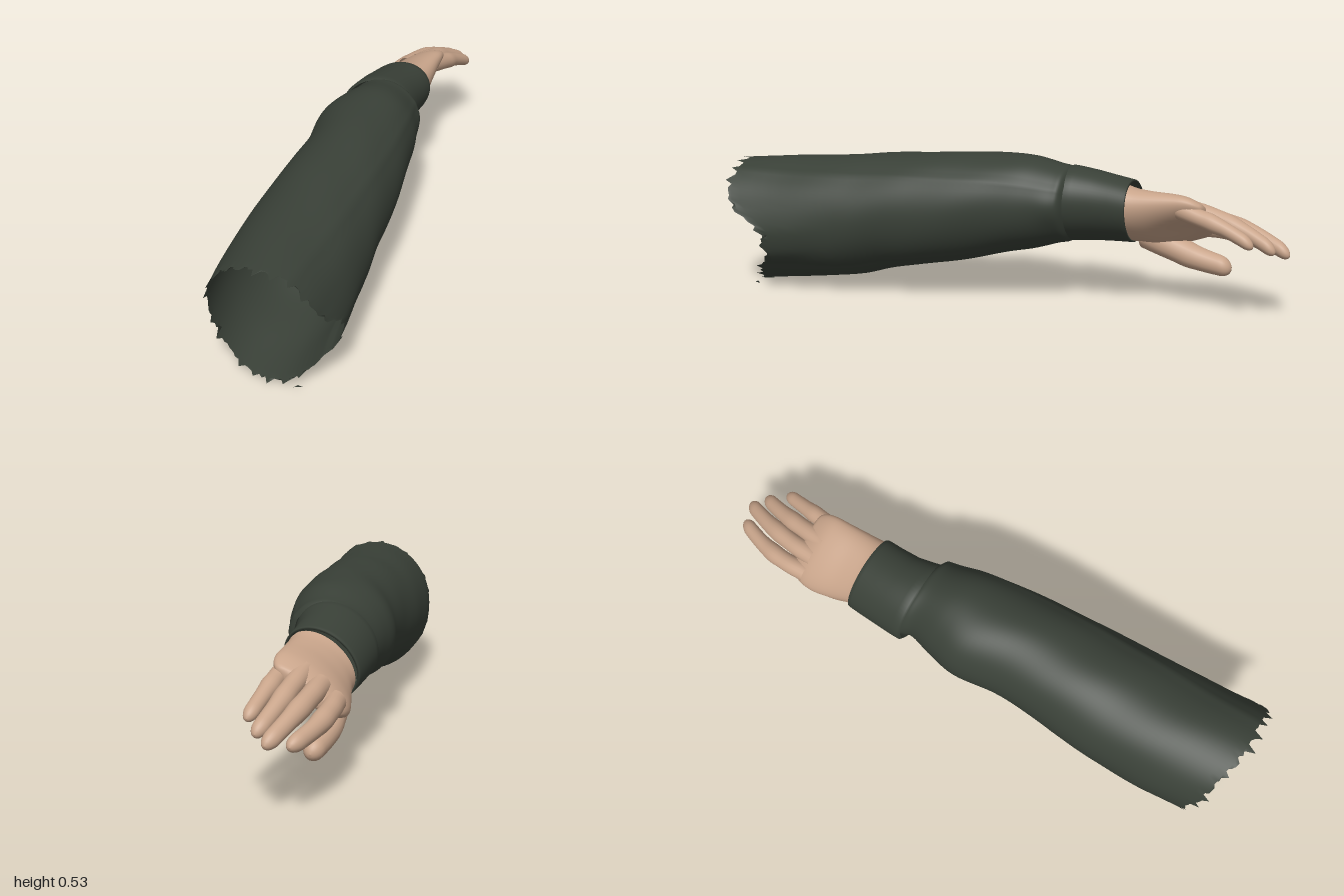
import * as THREE from 'three';

const fabric = new THREE.MeshStandardMaterial({ color: 0x394037, side: THREE.DoubleSide });
fabric.name = 'dark green fabric';
const skin = new THREE.MeshStandardMaterial({ color: 0xc8a48a, side: THREE.DoubleSide });
skin.name = 'skin';

// Seeded noise for the torn hem
let seed = 7;
const rand = () => (seed = (seed * 16807) % 2147483647) / 2147483647;
const bump = (d, w) => Math.exp(-((d / w) ** 2));

// Smoothly fills in extra rows between the given cross-sections
function refine(sections, steps) {
  const rows = [];
  const last = sections.length - 1;
  for (let i = 0; i < last; i++) {
    const p = [i - 1, i, i + 1, i + 2].map(k => sections[Math.min(last, Math.max(0, k))]);
    for (let s = 0; s < steps; s++) {
      const u = s / steps;
      rows.push(p[1].map((v, k) => {
        const a = p[0][k], c = p[2][k], d = p[3][k];
        return v + 0.5 * u * (c - a + u * (2 * a - 5 * v + 4 * c - d + u * (3 * (v - c) + d - a)));
      }));
    }
  }
  rows.push(sections[last]);
  return rows;
}

// Skins rows of slanted ellipses [z, cx, cy, halfWidth, halfHeight, slant], front to back
function loft(name, rows, cols, material, warp = (t, z) => ({ r: 1, z, t })) {
  const pos = [], index = [];
  rows.forEach(([z, cx, cy, ex, ey, k = 0], i) => {
    for (let j = 0; j < cols; j++) {
      const angle = (j / cols) * Math.PI * 2;
      const w = warp(angle > Math.PI ? angle - Math.PI * 2 : angle, z, i, j);
      pos.push(cx + ex * w.r * Math.cos(w.t - k), cy + ey * w.r * Math.sin(w.t + k), w.z);
      if (i < rows.length - 1) {
        const a = i * cols + j, b = i * cols + (j + 1) % cols;
        index.push(a, a + cols, b, b, a + cols, b + cols);
      }
    }
  });
  const g = new THREE.BufferGeometry();
  g.setAttribute('position', new THREE.Float32BufferAttribute(pos, 3));
  g.setIndex(index);
  g.computeVertexNormals();
  const mesh = new THREE.Mesh(g, material);
  mesh.name = name;
  return mesh;
}

// Rounded, tapering finger along a path
function finger(name, path, r0, r1) {
  const curve = new THREE.CatmullRomCurve3(path.map(p => new THREE.Vector3(...p)));
  const rows = [];
  const n = 30;
  for (let i = 0; i <= n; i++) {
    const u = 1 - (1 - i / n) ** 1.6;
    const p = curve.getPoint(u);
    const tip = Math.max(0, (u - 0.9) / 0.1);
    const r = (r0 + (r1 - r0) * u + 0.003 * bump(u - 0.55, 0.1)) * Math.sqrt(Math.max(0, 1 - tip * tip));
    rows.push([p.z, p.x, p.y, r, r * 1.05]);
  }
  return loft(name, rows, 20, skin);
}

function createModel() {
  const model = new THREE.Group();
  model.name = 'sleevedArm';

  // Sleeve: loose tube with seams, soft folds and a torn front hem
  const cols = 96;
  const hem = [0.83, 0.96, 0.985, 0.985, 0.995, 0.985, 0.97, 0.95, 0.92, 0.9, 0.9, 0.91, 0.925, 0.92, 0.88, 0.82];
  const tears = Array.from({ length: cols }, (_, j) => (j % 4 === 1 ? 0.012 : -0.008) - 0.03 * rand() ** 2);
  const sleeveRows = refine([
    [0.95, 0.06, 0.234, 0.217, 0.23, 0.04],
    [0.75, 0.03, 0.253, 0.22, 0.225, 0.01],
    [0.55, 0.008, 0.273, 0.216, 0.223, 0],
    [0.42, -0.006, 0.298, 0.206, 0.212, 0],
    [0.3, -0.016, 0.314, 0.197, 0.206, 0],
    [0.15, -0.033, 0.333, 0.187, 0.197, 0.01],
    [0, -0.067, 0.352, 0.187, 0.183, 0.03],
    [-0.1, -0.075, 0.361, 0.17, 0.17, 0.04],
    [-0.19, -0.083, 0.365, 0.143, 0.146, 0.05],
    [-0.225, -0.092, 0.364, 0.141, 0.14, 0.07],
    [-0.24, -0.105, 0.362, 0.135, 0.13, 0.08],
  ], 6);
  model.add(loft('sleeve', sleeveRows, cols, fabric, (s, z, i, j) => {
    const t = s + 0.5 * z;
    const below = -1.05 - s;
    let r = 1 + 0.01 * Math.sin(3 * t + 9 * z) * Math.sin(11 * z + t);
    if (below > 0 && below < 0.6) r -= 0.03 * (1 - below / 0.6);
    r += 0.015 * bump(s - 0.6, 0.08);
    r += 0.06 * bump(z + 0.2, 0.04) * bump(t, 0.35);
    if (z > 0.2) r -= 0.06 * (z - 0.2) * bump(t + 0.8, 0.4);
    const a = (t / (Math.PI * 2) + 1) % 1 * 16, h = Math.floor(a);
    const edge = hem[h] + (hem[(h + 1) % 16] - hem[h]) * (a - h);
    let zz = z > 0.55 ? 0.55 + (z - 0.55) * (edge - 0.55) / 0.4 : z;
    if (i === 0) zz += tears[j];
    return { r, z: zz, t };
  }));

  // Loose scrap beside the torn hem
  const scrap = new THREE.Mesh(new THREE.ShapeGeometry(new THREE.Shape([
    new THREE.Vector2(0.14, 0.005), new THREE.Vector2(0.172, 0.018), new THREE.Vector2(0.155, 0.019),
  ])), fabric);
  scrap.position.z = 0.91;
  scrap.name = 'fabricScrap';
  model.add(scrap);

  // Cuff: snug band folded in at the wrist
  model.add(loft('cuff', [
    [-0.225, -0.112, 0.364, 0.138, 0.132, 0.08],
    [-0.232, -0.115, 0.364, 0.145, 0.138, 0.08],
    [-0.26, -0.12, 0.363, 0.141, 0.136, 0.09],
    [-0.32, -0.128, 0.36, 0.133, 0.129, 0.1],
    [-0.39, -0.13, 0.355, 0.13, 0.122, 0.12],
    [-0.435, -0.13, 0.352, 0.129, 0.118, 0.13],
    [-0.45, -0.13, 0.351, 0.127, 0.117, 0.14],
    [-0.452, -0.13, 0.35, 0.121, 0.111, 0.14],
    [-0.435, -0.13, 0.35, 0.118, 0.108, 0.14],
  ], 64, fabric));

  // Palm: slanted, hollow at the wrist, gently cupped
  const hand = new THREE.Group();
  hand.name = 'hand';
  model.add(hand);
  hand.add(loft('palm', refine([
    [-0.435, -0.125, 0.345, 0.115, 0.106, 0.2],
    [-0.47, -0.128, 0.338, 0.112, 0.105, 0.24],
    [-0.53, -0.14, 0.33, 0.115, 0.109, 0.32],
    [-0.6, -0.154, 0.332, 0.119, 0.105, 0.39],
    [-0.65, -0.158, 0.336, 0.117, 0.096, 0.44],
    [-0.69, -0.158, 0.336, 0.105, 0.08, 0.5],
    [-0.71, -0.158, 0.335, 0.08, 0.06, 0.55],
    [-0.713, -0.158, 0.335, 0.001, 0.001, 0.55],
  ], 4), 48, skin, (t, z) => ({
    r: 1 - 0.2 * bump(t + 0.78, 0.5) * bump(z + 0.62, 0.09), z, t,
  })));

  // Fingers and thumb
  [
    ['indexFinger', [[-0.238, 0.292, -0.65], [-0.247, 0.288, -0.73], [-0.238, 0.27, -0.84], [-0.2, 0.244, -0.975]], 0.036, 0.026],
    ['middleFinger', [[-0.188, 0.338, -0.65], [-0.188, 0.33, -0.74], [-0.17, 0.3, -0.87], [-0.132, 0.25, -1]], 0.037, 0.026],
    ['ringFinger', [[-0.132, 0.373, -0.64], [-0.128, 0.357, -0.73], [-0.115, 0.322, -0.84], [-0.087, 0.268, -0.96]], 0.036, 0.025],
    ['littleFinger', [[-0.078, 0.388, -0.62], [-0.066, 0.368, -0.69], [-0.056, 0.342, -0.78], [-0.038, 0.292, -0.895]], 0.034, 0.023],
    ['thumb', [[-0.178, 0.272, -0.47], [-0.2, 0.227, -0.55], [-0.207, 0.185, -0.66], [-0.2, 0.16, -0.785]], 0.058, 0.032],
  ].forEach(args => hand.add(finger(...args)));

  return model;
}

export { createModel };
